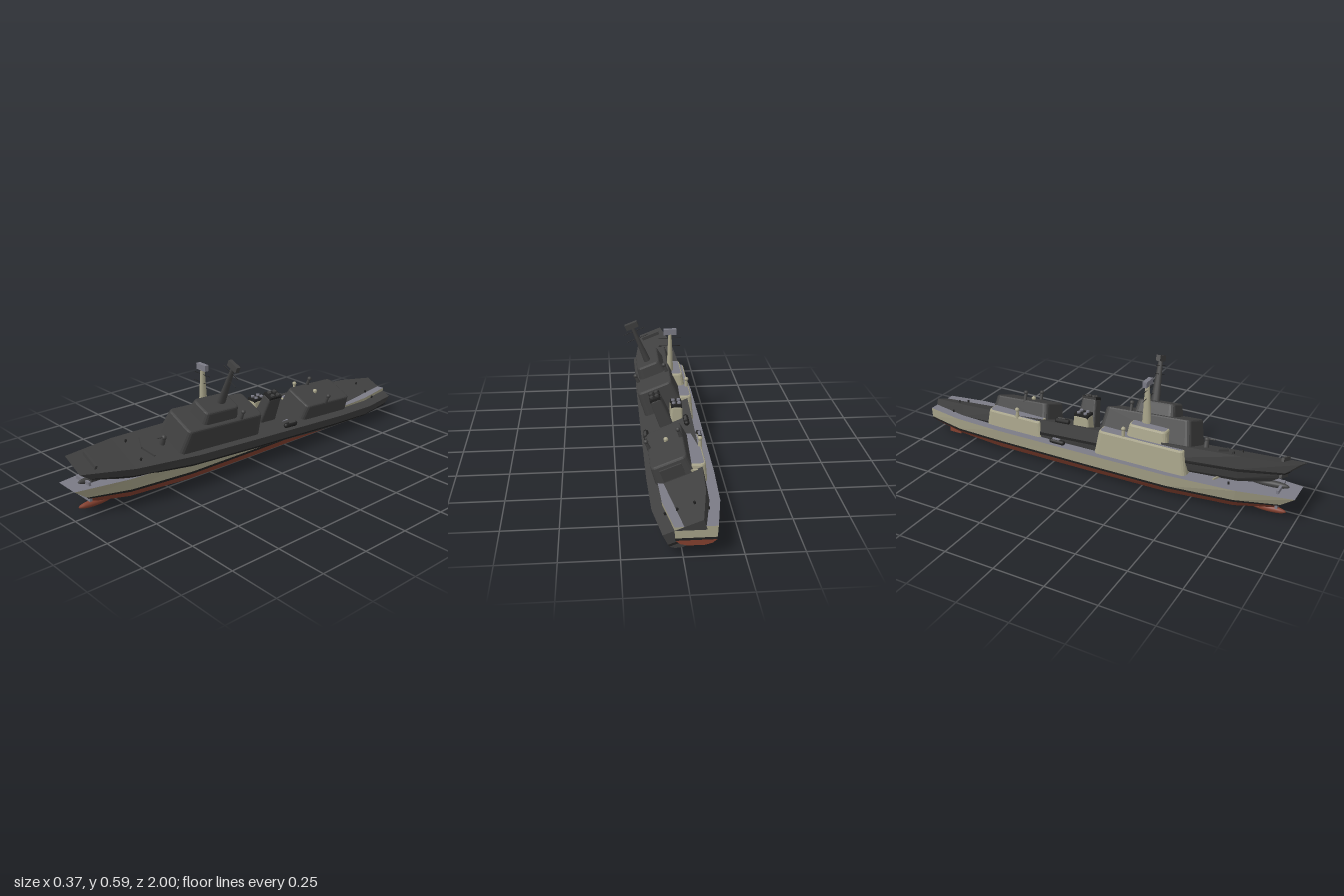
import * as THREE from 'three';

const mat = (name, color) => {
  const m = new THREE.MeshStandardMaterial({ color });
  m.name = name;
  return m;
};

// Hull stations: z, bow rake, then half-width and height at five levels
// (deck edge, stripe top, stripe bottom, bilge, keel)
const STATIONS = [
  [-1, 0, 0.088, 0.136, 0.085, 0.085, 0.084, 0.074, 0.065, 0.058, 0.035, 0.05],
  [-0.8, 0, 0.122, 0.134, 0.115, 0.073, 0.112, 0.061, 0.085, 0.033, 0.04, 0.02],
  [-0.55, 0, 0.13, 0.132, 0.119, 0.07, 0.116, 0.057, 0.093, 0.02, 0.04, 0.003],
  [0, 0, 0.13, 0.132, 0.119, 0.068, 0.116, 0.055, 0.093, 0.02, 0.04, 0],
  [0.4, 0, 0.128, 0.132, 0.117, 0.068, 0.114, 0.055, 0.088, 0.02, 0.04, 0],
  [0.74, 0.2, 0.108, 0.135, 0.09, 0.073, 0.085, 0.06, 0.06, 0.027, 0.025, 0.009],
  [1, 1, 0.064, 0.141, 0.054, 0.09, 0.05, 0.08, 0.034, 0.058, 0.014, 0.035],
];
const RAKE = [0, 0.065, 0.075, 0.1, 0.14];

function levelPoints(level) {
  const side = (s) => STATIONS.map((r) => [
    s * r[2 + level * 2], r[3 + level * 2], r[0] - r[1] * RAKE[level],
  ]);
  return { left: side(1), right: side(-1) };
}

function fromTriangles(tris) {
  const g = new THREE.BufferGeometry();
  g.setAttribute('position', new THREE.Float32BufferAttribute(tris.flat(2), 3));
  g.computeVertexNormals();
  return g;
}

// Closed band of hull skin between two levels, including bow and transom
function hullBand(top) {
  const ring = (l) => {
    const { left, right } = levelPoints(l);
    return [...left, ...right.reverse()];
  };
  const u = ring(top), l = ring(top + 1), tris = [];
  for (let i = 0; i < u.length; i++) {
    const j = (i + 1) % u.length;
    tris.push([l[i], u[i], l[j]], [u[i], u[j], l[j]]);
  }
  return fromTriangles(tris);
}

// Flat strip joining both sides at one level
function hullCap(level, up) {
  const { left: p, right: m } = levelPoints(level);
  const tris = [];
  for (let i = 0; i < p.length - 1; i++) {
    tris.push([p[i], m[i], p[i + 1]], [m[i], m[i + 1], p[i + 1]]);
  }
  return fromTriangles(up ? tris : tris.map((t) => t.reverse()));
}

// Deckhouse with rounded corners, a softened roof edge and sloping walls
function houseGeometry(width, length, height, taperX, taperZ, r = 0.02, bevel = 0.008) {
  const w = width / 2 - bevel, l = length / 2 - bevel;
  const s = new THREE.Shape();
  s.moveTo(-w + r, -l);
  s.lineTo(w - r, -l);
  s.quadraticCurveTo(w, -l, w, -l + r);
  s.lineTo(w, l - r);
  s.quadraticCurveTo(w, l, w - r, l);
  s.lineTo(-w + r, l);
  s.quadraticCurveTo(-w, l, -w, l - r);
  s.lineTo(-w, -l + r);
  s.quadraticCurveTo(-w, -l, -w + r, -l);
  const g = new THREE.ExtrudeGeometry(s, {
    depth: height - bevel, bevelEnabled: true, bevelThickness: bevel,
    bevelSize: bevel, bevelSegments: 2, curveSegments: 4,
  });
  g.rotateX(-Math.PI / 2);
  const p = g.attributes.position;
  for (let i = 0; i < p.count; i++) {
    const t = p.getY(i) / height;
    p.setX(i, p.getX(i) * (1 - taperX * t));
    p.setZ(i, p.getZ(i) * (1 - taperZ * t));
  }
  g.computeVertexNormals();
  return g;
}

function buildShip(name, c) {
  const ship = new THREE.Group();
  ship.name = name;
  const add = (part, geometry, material, x = 0, y = 0, z = 0) => {
    const mesh = new THREE.Mesh(geometry, material);
    mesh.name = part;
    mesh.position.set(x, y, z);
    ship.add(mesh);
    return mesh;
  };
  const box = (part, w, h, d, material, x, y, z) =>
    add(part, new THREE.BoxGeometry(w, h, d), material, x, y, z);
  const cyl = (part, r1, r2, h, material, x, y, z, n = 12) =>
    add(part, new THREE.CylinderGeometry(r1, r2, h, n), material, x, y, z);

  // Hull
  add('upperHull', hullBand(0), c.hull);
  add('waterlineStripe', hullBand(1), c.stripe);
  add('lowerHull', hullBand(2), c.bottom);
  add('bilge', hullBand(3), c.bottom);
  add('keel', hullCap(4, false), c.bottom);
  add('deck', hullCap(0, true), c.deck);
  add('bowBulb', new THREE.SphereGeometry(1, 16, 12), c.bottom, 0, 0.025, 0.86)
    .scale.set(0.017, 0.017, 0.09);
  box('bowPlate', 0.104, 0.094, 0.012, c.deck, 0, 0.11, 0.915);

  // Superstructure
  const walls = [c.deck, c.hull];
  add('mainHouse', houseGeometry(0.2, 0.49, 0.125, 0.1, 0.09), walls, 0, 0.128, 0.245);
  add('bridge', houseGeometry(0.14, 0.215, 0.062, 0.16, 0.1), walls, 0, 0.25, 0.268);
  add('aftHouse', houseGeometry(0.182, 0.34, 0.083, 0.08, 0.08), walls, 0, 0.13, -0.47);
  box('hangarDoor', 0.1, 0.058, 0.008, c.hull, 0, 0.164, -0.635);

  // Funnel with twin exhausts
  add('funnel', houseGeometry(0.068, 0.108, 0.14, 0.2, 0.25, 0.01, 0.004), c.hull, 0, 0.128, -0.108);
  box('funnelCap', 0.052, 0.016, 0.078, c.stripe, 0, 0.272, -0.108);
  for (const x of [-0.013, 0.013]) {
    for (const z of [-0.126, -0.09]) cyl('exhaust', 0.009, 0.009, 0.014, c.deck, x, 0.281, z);
  }

  // Mast, yards and radar
  cyl('mast', 0.008, 0.017, 0.2, c.hull, 0, 0.41, 0.24).scale.z = 1.4;
  box('radar', 0.065, 0.029, 0.022, c.deck, 0, 0.518, 0.24);
  for (const y of [0.441, 0.483]) {
    cyl('yard', 0.0015, 0.0015, 0.114, c.stripe, 0, y, 0.243, 6).rotation.z = Math.PI / 2;
  }

  // Fittings mirrored on both sides
  for (const s of [-1, 1]) {
    for (const [z, y] of [[0.155, 0.245], [-0.45, 0.205]]) {
      cyl('sensorPost', 0.007, 0.01, 0.045, c.hull, s * 0.077, y + 0.02, z);
      add('sensorDome', new THREE.SphereGeometry(0.011, 12, 8), c.hull, s * 0.077, y + 0.045, z);
    }
    const tube = add('boatTube', new THREE.CapsuleGeometry(0.013, 0.06, 4, 10), c.stripe, s * 0.103, 0.143, -0.2);
    tube.rotation.x = Math.PI / 2;
    box('boatSeat', 0.012, 0.008, 0.04, c.deck, s * 0.103, 0.155, -0.205);
    box('breakwater', 0.07, 0.01, 0.006, c.hull, s * 0.033, 0.138, 0.628).rotation.y = s * 0.4;
    for (const z of [0.69, -0.87]) cyl('bollard', 0.005, 0.005, 0.012, c.stripe, s * 0.065, 0.14, z, 8);
    box('rudder', 0.012, 0.045, 0.07, c.bottom, s * 0.045, 0.025, -0.88);
  }

  // Foredeck gun
  cyl('gunMount', 0.011, 0.014, 0.035, c.hull, 0, 0.15, 0.53);
  add('gunHouse', new THREE.SphereGeometry(0.013, 12, 8), c.hull, 0, 0.17, 0.53);
  cyl('gunBarrel', 0.003, 0.003, 0.035, c.hull, 0, 0.174, 0.553, 6).rotation.x = Math.PI / 2;
  return ship;
}

export function createModel() {
  const model = new THREE.Group();
  model.name = 'twinShips';
  const charcoal = mat('charcoal', 0x404040);
  const black = mat('black', 0x222222);

  const upright = buildShip('uprightShip', {
    hull: mat('sand', 0xa8a48a), deck: mat('deckGrey', 0x7b7b86),
    bottom: mat('rustRed', 0x84402f), stripe: black,
  });
  upright.position.x = -0.052;

  // Second ship, heeled and bow up, overlapping the first
  const heeled = buildShip('heeledShip', {
    hull: charcoal, deck: charcoal, bottom: charcoal, stripe: black,
  });
  heeled.position.set(-0.05, 0.07, 0.005);
  heeled.rotation.set(-0.062, 0, -0.384);

  model.add(upright, heeled);
  return model;
}
